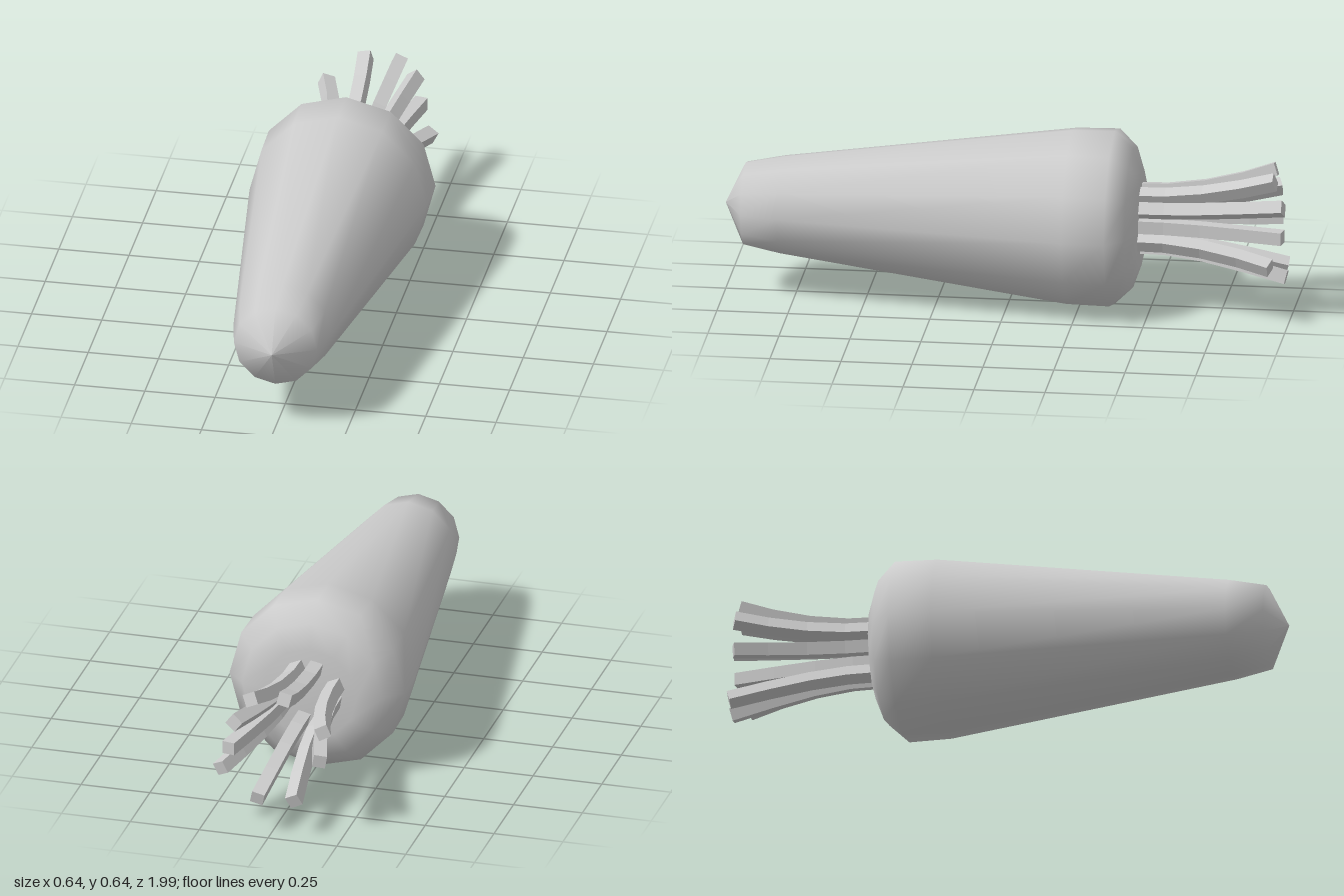
import * as THREE from 'three';

const CENTRE_Y = 0.32;

// Smooth twelve-sided root lying along z, pointed end at +z
function makeRoot(material) {
  const profile = [
    [0, -0.465], [0.17, -0.465], [0.255, -0.435], [0.318, -0.37],
    [0.315, -0.22], [0.175, 0.8], [0.148, 0.93], [0, 1],
  ].map(([r, z]) => new THREE.Vector2(r, z));
  const geometry = new THREE.LatheGeometry(profile, 12);
  geometry.rotateX(Math.PI / 2);
  const root = new THREE.Mesh(geometry, material);
  root.name = 'root';
  return root;
}

// Square stalk that leaves the crown straight, then bends outward to its tip
function makeStalk([tipX, tipY, tipZ], material) {
  const start = -0.44;
  const tipRadius = Math.hypot(tipX, tipY);
  const bend = new THREE.SplineCurve([
    new THREE.Vector2(start, tipRadius * 0.53),
    new THREE.Vector2(-0.6, tipRadius * 0.56),
    new THREE.Vector2(-0.78, tipRadius * 0.74),
    new THREE.Vector2(tipZ + 0.01, tipRadius),
  ]);
  const geometry = new THREE.BoxGeometry(0.046, 0.046, 1, 1, 1, 4);
  const pos = geometry.attributes.position;
  for (let i = 0; i < pos.count; i++) {
    const t = 0.5 - pos.getZ(i);
    const p = bend.getPoint(t);
    const d = bend.getTangent(t);
    const u = pos.getX(i);
    // offset square to the bend, so the end face tilts with it
    pos.setXYZ(i, p.y - u * d.x, pos.getY(i), p.x + u * d.y);
  }
  geometry.rotateZ(Math.atan2(tipY, tipX));
  geometry.computeVertexNormals();
  const stalk = new THREE.Mesh(geometry, material);
  stalk.name = 'stalk';
  return stalk;
}

export function createModel() {
  const model = new THREE.Group();
  model.name = 'carrot';
  const smooth = new THREE.MeshStandardMaterial({ color: 0xcccccc });
  const flat = new THREE.MeshStandardMaterial({ color: 0xcccccc, flatShading: true });

  model.add(makeRoot(smooth));

  // Ring of leaf stalks, given by their tips
  const stalks = new THREE.Group();
  stalks.name = 'stalks';
  const tips = [
    [0.08, 0.18, -0.955], [-0.04, 0.19, -0.945], [0.13, 0.1, -0.99],
    [0.15, 0, -0.99], [0.19, -0.1, -0.95], [0.045, -0.18, -0.99],
    [-0.085, -0.18, -0.98], [-0.18, 0.08, -0.945], [-0.17, -0.03, -0.95],
  ];
  tips.forEach((tip) => stalks.add(makeStalk(tip, flat)));
  model.add(stalks);

  model.children.forEach((part) => { part.position.y = CENTRE_Y; });
  return model;
}
